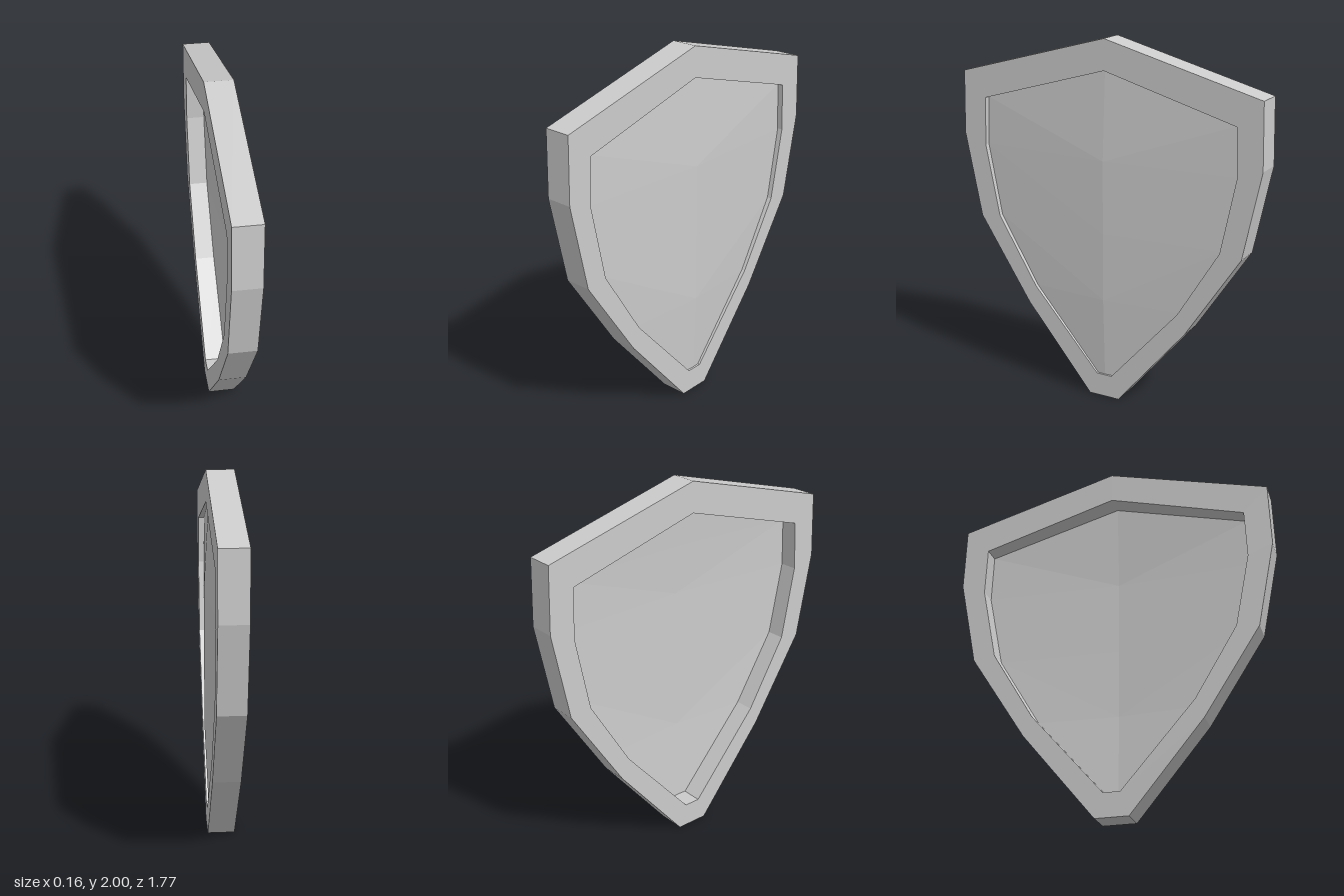
import * as THREE from 'three';

const material = new THREE.MeshStandardMaterial({ color: 0xcccccc, flatShading: true });

// Half outlines [z, y] from the top point down to the foot
const OUTER = [[0, 2], [0.875, 1.765], [0.885, 1.415], [0.79, 0.945], [0.485, 0.475], [0.09, 0]];
const INNER = [[0, 1.835], [0.74, 1.625], [0.75, 1.36], [0.67, 0.96], [0.44, 0.58], [0.045, 0.13]];

// Depth of the panel along its border and along its middle ridge
const EDGE_X = [0.054, 0.035, 0.038, 0.042, 0.048, 0.055];
const RIDGE_X = [0.054, 0.066, 0.08, 0.08, 0.078, 0.058];

// Full closed outline from a half outline
function outline(half) {
  const mirrored = half.slice(1).reverse().map(([z, y]) => [-z, y]);
  return [...half, ...mirrored].map(([z, y]) => new THREE.Vector2(z, y));
}

// Thick border running round the shield
function makeRim(xBack, xFront) {
  const shape = new THREE.Shape(outline(OUTER).reverse());
  shape.holes.push(new THREE.Path(outline(INNER)));
  const geometry = new THREE.ExtrudeGeometry(shape, { depth: xFront - xBack, bevelEnabled: false });
  geometry.rotateY(Math.PI / 2).translate(xBack, 0, 0);
  return new THREE.Mesh(geometry, material);
}

// Panel folded along the ridge, moved back by inset; side is +1 facing +x, -1 facing -x
function makePanel(inset, side) {
  const positions = [];
  const triangle = (a, b, c) => positions.push(...a, ...(side > 0 ? [...b, ...c] : [...c, ...b]));
  const edge = (i, s) => [EDGE_X[i] - inset, INNER[i][1], s * INNER[i][0]];
  const ridge = (i) => [RIDGE_X[i] - inset, INNER[i][1], 0];
  for (let i = 0; i < INNER.length - 1; i++) {
    triangle(edge(i, 1), edge(i + 1, 1), ridge(i + 1));
    triangle(edge(i, -1), ridge(i + 1), edge(i + 1, -1));
    if (i === 0) continue;
    triangle(edge(i, 1), ridge(i + 1), ridge(i));
    triangle(edge(i, -1), ridge(i), ridge(i + 1));
  }
  const geometry = new THREE.BufferGeometry();
  geometry.setAttribute('position', new THREE.Float32BufferAttribute(positions, 3));
  geometry.computeVertexNormals();
  return new THREE.Mesh(geometry, material);
}

export function createModel() {
  const group = new THREE.Group();
  group.name = 'shield';

  const rim = makeRim(-0.08, 0.068);
  rim.name = 'rim';

  // Outer face rises to a ridge just past the rim
  const facePanel = makePanel(0, 1);
  facePanel.name = 'facePanel';

  // Hollow inner face follows the outer one
  const backPanel = makePanel(0.02, -1);
  backPanel.name = 'backPanel';

  group.add(rim, facePanel, backPanel);
  return group;
}
